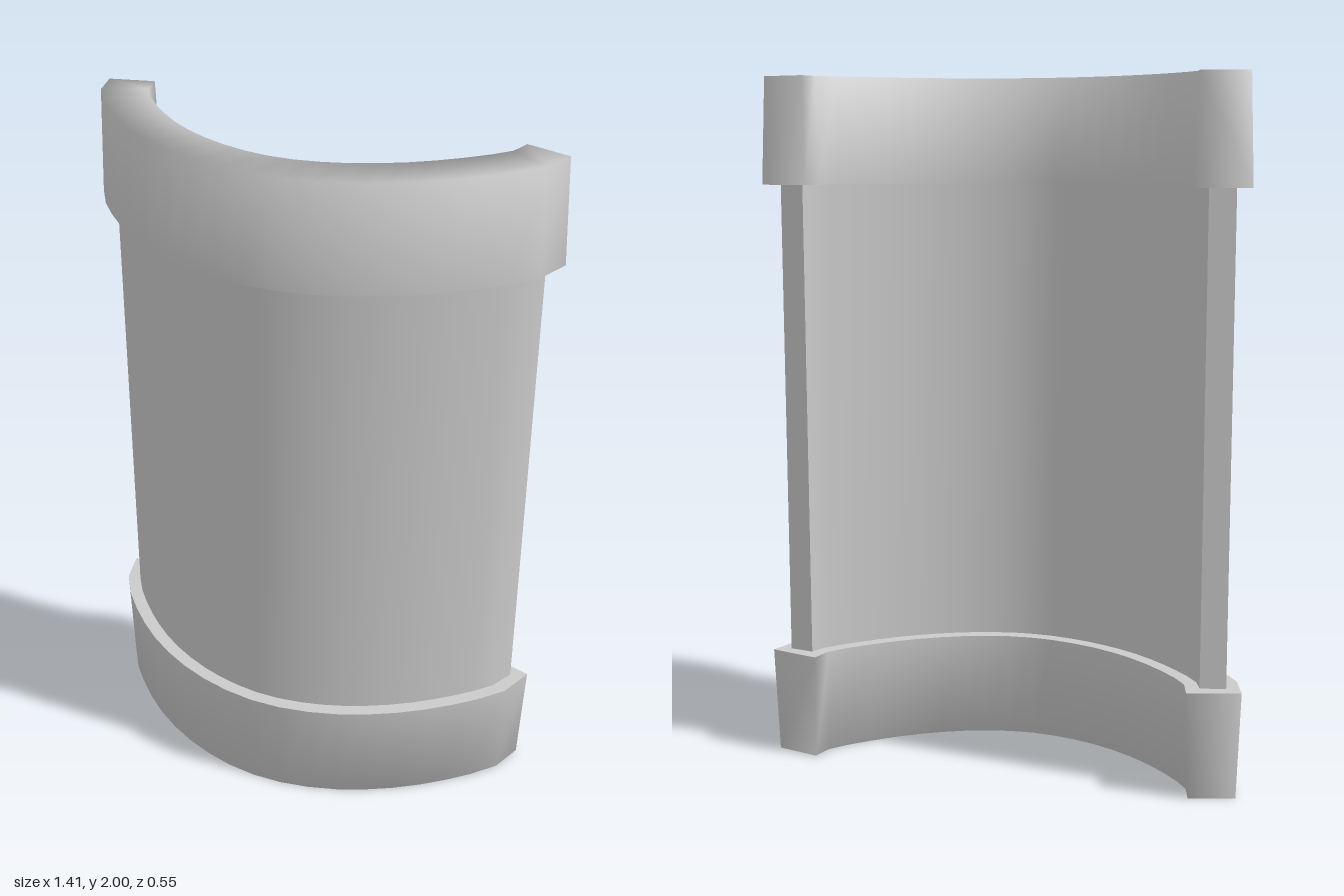
import * as THREE from 'three';

const material = new THREE.MeshStandardMaterial({ color: 0xcccccc });

// Plan-view centre line of the curved shield, from its right end to its left
const spine = new THREE.CatmullRomCurve3([
  [-0.63, -0.249], [-0.609, -0.17], [-0.52, -0.055], [-0.36, 0.08], [-0.18, 0.165], [0, 0.195],
  [0.18, 0.165], [0.36, 0.08], [0.52, -0.045], [0.609, -0.145], [0.628, -0.212],
].map(([x, z]) => new THREE.Vector3(x, 0, z)));

// Sweeps a four-cornered section [offset outward, height, extra length at ends]
// along the spine. Strips listed in "sharp" get their own vertices.
function sweep(name, section, from, to, segments, sharp, sharpCaps) {
  const positions = [], indices = [];
  const corner = (i, [offset, y, extra]) => {
    const u = from + (to - from) * i / segments;
    const p = spine.getPointAt(u), t = spine.getTangentAt(u);
    const push = i === 0 ? -extra : i === segments ? extra : 0;
    return positions.push(
      p.x - t.z * offset + t.x * push, y, p.z + t.x * offset + t.z * push) / 3 - 1;
  };
  const rings = [];
  for (let i = 0; i <= segments; i++) rings.push(section.map((s) => corner(i, s)));

  for (let j = 0; j < 4; j++) {
    const k = (j + 1) % 4;
    const strip = rings.map((ring, i) => sharp.includes(j)
      ? [corner(i, section[j]), corner(i, section[k])] : [ring[j], ring[k]]);
    for (let i = 0; i < segments; i++) {
      const [a, d] = strip[i], [b, c] = strip[i + 1];
      indices.push(a, b, c, a, c, d);
    }
  }

  // End caps
  const cap = (i) => sharpCaps ? section.map((s) => corner(i, s)) : rings[i];
  const [s, e] = [cap(0), cap(segments)];
  indices.push(s[0], s[1], s[2], s[0], s[2], s[3], e[0], e[2], e[1], e[0], e[3], e[2]);

  const geometry = new THREE.BufferGeometry();
  geometry.setAttribute('position', new THREE.Float32BufferAttribute(positions, 3));
  geometry.setIndex(indices);
  geometry.computeVertexNormals();
  const mesh = new THREE.Mesh(geometry, material);
  mesh.name = name;
  return mesh;
}

export function createModel() {
  const group = new THREE.Group();
  group.name = 'curvedShield';

  // Thin curved panel, tucked into both rims
  const t = 0.037;
  group.add(sweep('panel', [[t, 0.2, 0], [t, 1.8, 0], [-t, 1.8, 0], [-t, 0.2, 0]],
    0.018, 0.982, 24, [0, 1, 2, 3], true));

  // Thick rims, slightly wider at the lip that grips the panel
  const rim = [[0.077, 1.695, 0.01], [0.067, 2, 0.002], [-0.067, 2, 0.002], [-0.077, 1.695, 0.01]];
  group.add(sweep('topRim', rim, 0, 1, 20, [3], false));
  const lower = rim.map(([o, y, e]) => [o, 2.005 - y, e]).reverse();
  lower.forEach((s) => { if (s[1] < 0.1) s[1] = 0; });
  group.add(sweep('bottomRim', lower, 0, 1, 20, [3], false));
  return group;
}
